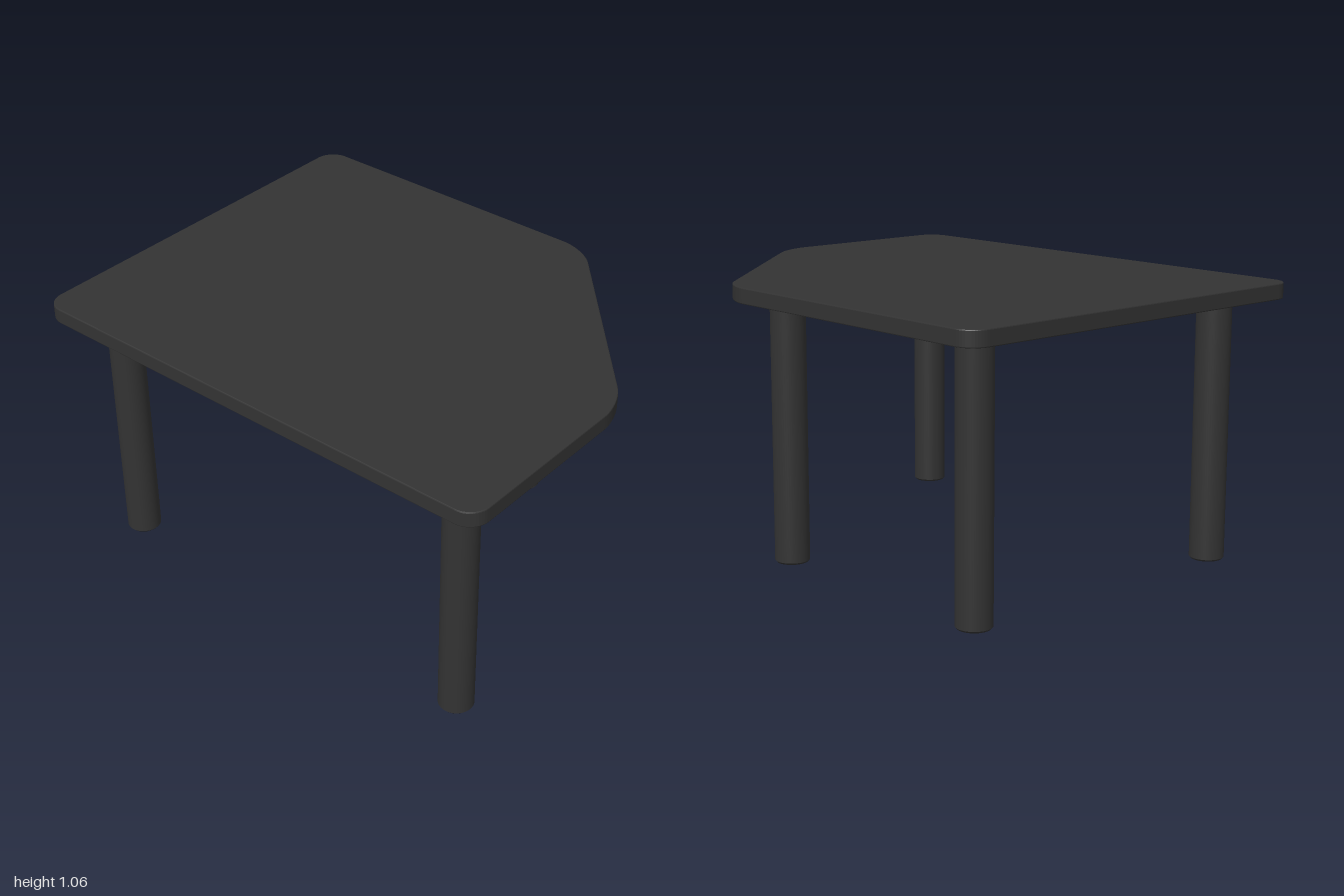
import * as THREE from 'three';

const material = new THREE.MeshStandardMaterial({ color: 0x333333 });

// Outline with every corner rounded: each corner is [x, y, cut length]
function roundedOutline(corners) {
  const shape = new THREE.Shape();
  const n = corners.length;
  corners.forEach(([x, y, cut], i) => {
    const p = new THREE.Vector2(x, y);
    const towards = ([a, b]) => new THREE.Vector2(a, b).sub(p).setLength(cut).add(p);
    const start = towards(corners[(i + n - 1) % n]);
    const end = towards(corners[(i + 1) % n]);
    // Control points close to a circular arc
    const c1 = start.clone().lerp(p, 0.55);
    const c2 = end.clone().lerp(p, 0.55);
    if (i === 0) shape.moveTo(start.x, start.y);
    else shape.lineTo(start.x, start.y);
    shape.bezierCurveTo(c1.x, c1.y, c2.x, c2.y, end.x, end.y);
  });
  shape.closePath();
  return shape;
}

// Solid of revolution with hard edges between profile segments
function turned(name, profile) {
  const group = new THREE.Group();
  group.name = name;
  for (let i = 0; i < profile.length - 1; i++) {
    const points = [profile[i], profile[i + 1]].map(([r, y]) => new THREE.Vector2(r, y));
    const mesh = new THREE.Mesh(new THREE.LatheGeometry(points, 48), material);
    mesh.name = name + 'Surface';
    group.add(mesh);
  }
  return group;
}

export function createModel() {
  const model = new THREE.Group();
  model.name = 'table';

  // Table top with one front corner cut off diagonally (shape y becomes -z)
  const bevel = 0.004;
  const outline = roundedOutline([
    [-0.8, -1, 0.08], [0.02, -1, 0.1], [0.8, -0.31, 0.1], [0.8, 1, 0.08], [-0.8, 1, 0.08],
  ]);
  const topGeometry = new THREE.ExtrudeGeometry(outline, {
    depth: 0.06 - 2 * bevel, bevelSize: bevel, bevelThickness: bevel,
    bevelOffset: -bevel, bevelSegments: 2, curveSegments: 12,
  });
  topGeometry.rotateX(-Math.PI / 2).translate(0, 1 + bevel, 0);
  const top = new THREE.Mesh(topGeometry, material);
  top.name = 'tableTop';
  model.add(top);

  // Round legs, each with a thin mounting plate under the top
  for (const [x, z] of [[-0.6, 0.8], [0.6, 0.215], [-0.6, -0.8], [0.6, -0.8]]) {
    const leg = turned('leg', [[0, 0], [0.06, 0], [0.066, 0.007], [0.066, 1]]);
    const plate = turned('mountingPlate', [[0, 0.994], [0.133, 0.994], [0.133, 1.002]]);
    for (const part of [leg, plate]) {
      part.position.set(x, 0, z);
      model.add(part);
    }
  }
  return model;
}
